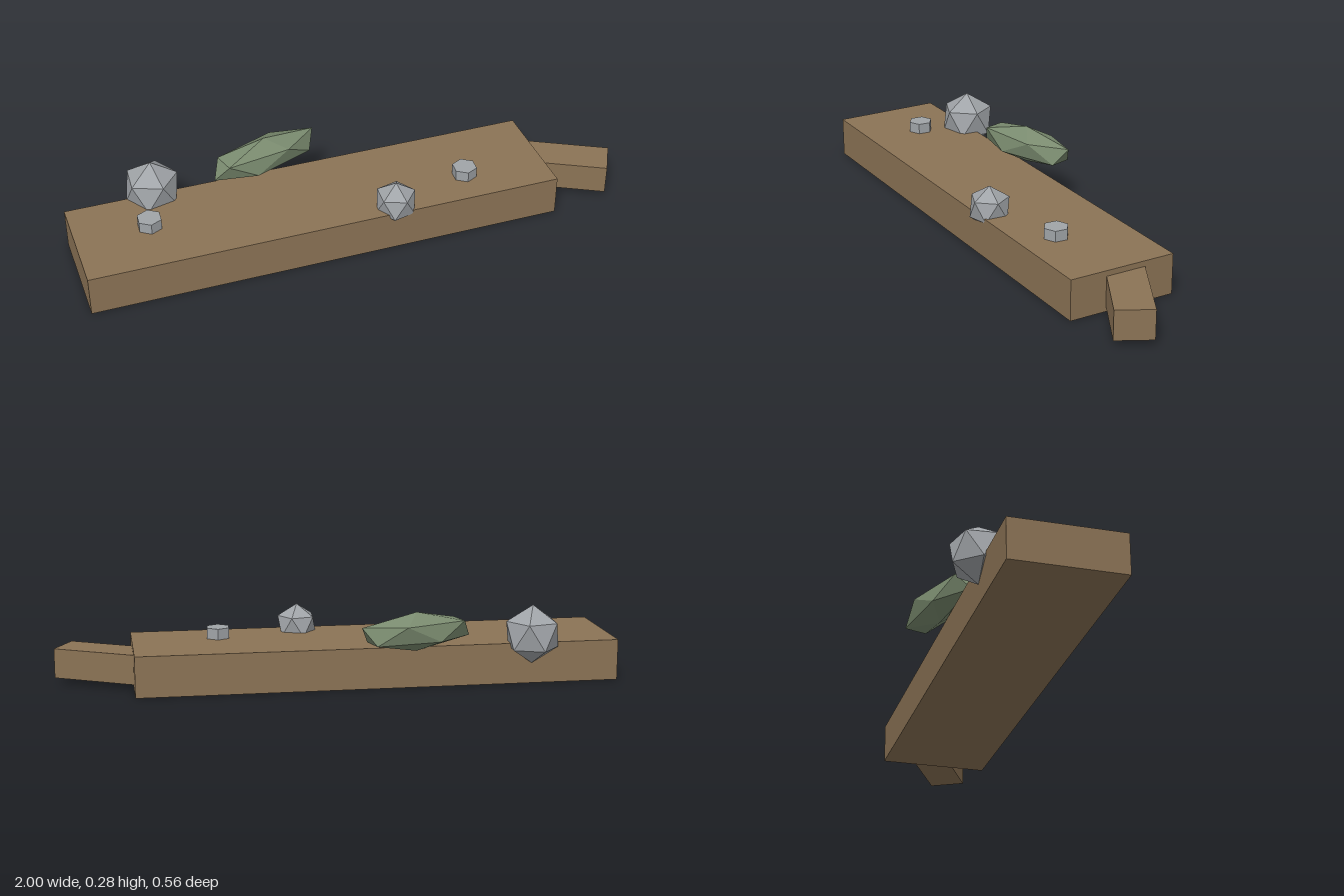
import * as THREE from 'three';

const mat = (name, color) => {
  const m = new THREE.MeshStandardMaterial({ color, flatShading: true });
  m.name = name;
  return m;
};

export function createModel() {
  const group = new THREE.Group();
  group.name = 'mossyPlank';
  const wood = mat('weatheredWood', 0x8b7355);
  const stone = mat('greyStone', 0xa0a4a8);
  const moss = mat('mossGreen', 0x7a8b6f);

  const add = (name, geometry, material, [x, y, z], yaw = 0) => {
    const mesh = new THREE.Mesh(geometry, material);
    mesh.name = name;
    mesh.position.set(x, y, z);
    mesh.rotation.y = yaw;
    group.add(mesh);
  };

  // Twenty-sided lump standing on a corner, stretched along each axis
  const lump = (rx, ry, rz) =>
    new THREE.IcosahedronGeometry(1, 0).rotateZ(-0.5536).scale(rx, ry, rz);

  // Main plank and the short broken piece jutting from its end
  add('plank', new THREE.BoxGeometry(1.714, 0.146, 0.396), wood, [-0.1325, 0.073, 0.0225], 0.07);
  add('brokenStub', new THREE.BoxGeometry(0.4, 0.106, 0.132), wood, [0.79, 0.073, 0.019 - 0.038], -0.42);

  // Hexagonal bolt heads
  for (const [name, x] of [['rightBolt', -0.725], ['leftBolt', 0.42]]) {
    add(name, new THREE.CylinderGeometry(0.045, 0.045, 0.06, 6), stone, [x, 0.155, 0.047]);
  }

  // Stones resting on the plank edges
  add('largeStone', lump(0.105, 0.105, 0.105), stone, [-0.685, 0.178, -0.137]);
  add('smallStone', lump(0.078, 0.078, 0.078), stone, [0.13, 0.165, 0.155]);

  // Flattened clump of moss
  add('mossClump', lump(0.235, 0.069, 0.077), moss, [-0.265, 0.206, -0.188], 0.35);

  return group;
}
